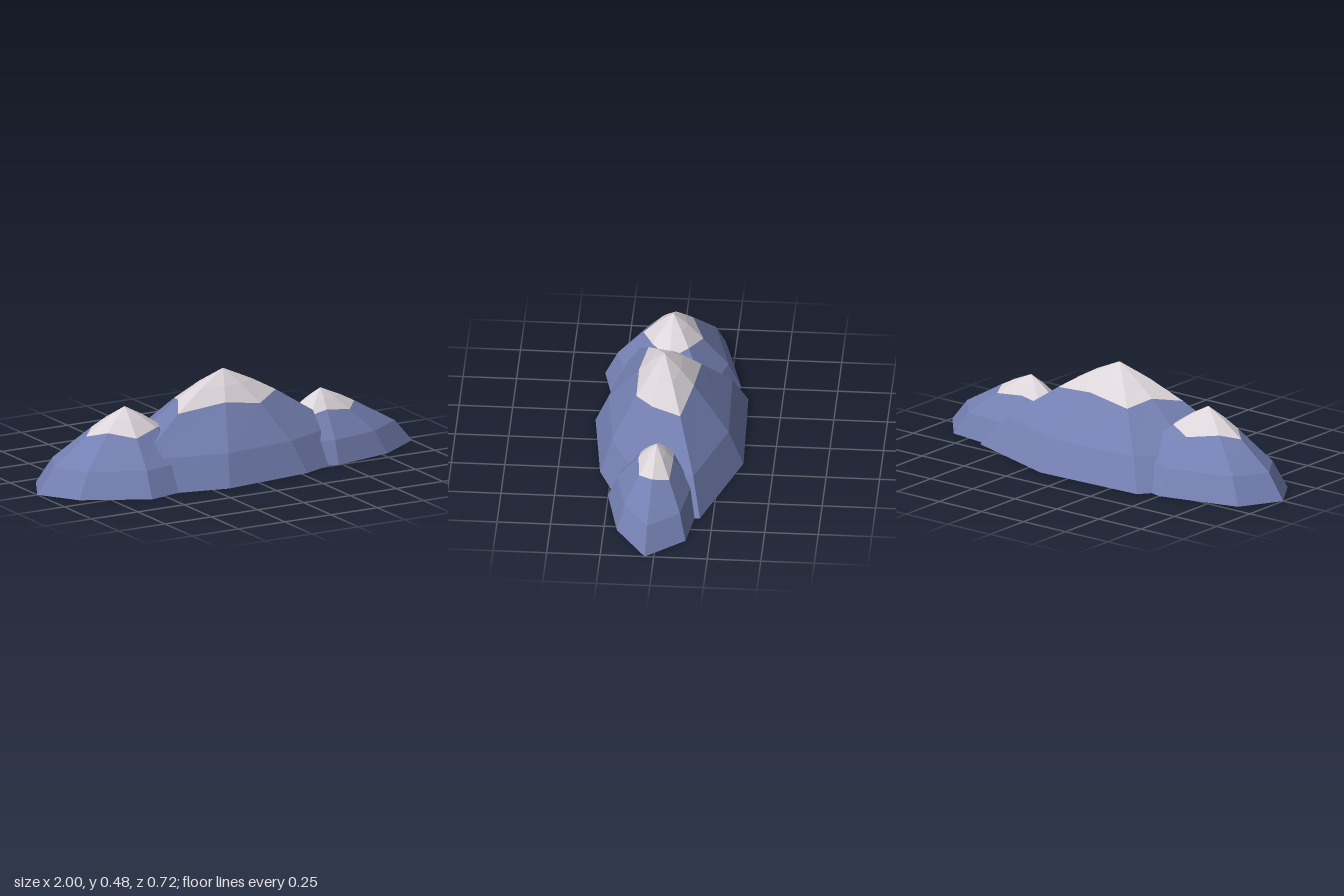
import * as THREE from 'three';

// Footprint corners [x, z] run counter-clockwise from above.
const PEAKS = [
  {
    name: 'leftMountain', apex: [-0.54, 0.37, 0.02], footHeight: 0.122,
    base: [[-0.88, 0.185], [-0.58, 0.342], [-0.22, 0.26], [-0.08, 0.03],
      [-0.15, -0.2], [-0.5, -0.3], [-0.89, -0.2], [-1, 0]],
  },
  {
    name: 'middleMountain', apex: [-0.01, 0.483, 0.022], footHeight: 0.151,
    base: [[0.7, 0.125], [0.65, -0.19], [0.16, -0.358], [-0.4, -0.34],
      [-0.61, -0.08], [-0.69, 0.245], [-0.17, 0.357], [0.28, 0.303]],
  },
  {
    name: 'rightMountain', apex: [0.515, 0.317, 0.022], footHeight: 0.109,
    base: [[1, 0.042], [0.85, -0.137], [0.5, -0.188], [0.28, -0.15],
      [0.15, 0], [0.3, 0.2], [0.48, 0.252], [0.78, 0.188]],
  },
];

// Facets between successive closed rings, lowest first.
function facetedShell(rings) {
  const positions = [];
  for (let r = 0; r + 1 < rings.length; r++) {
    const low = rings[r], high = rings[r + 1];
    low.forEach((corner, i) => {
      const j = (i + 1) % low.length;
      positions.push(...corner, ...low[j], ...high[j]);
      // A ring shrunk to the summit needs only one triangle per side
      if (high[i].some((v, k) => v !== high[j][k])) {
        positions.push(...corner, ...high[j], ...high[i]);
      }
    });
  }
  const geometry = new THREE.BufferGeometry();
  geometry.setAttribute('position', new THREE.Float32BufferAttribute(positions, 3));
  geometry.computeVertexNormals();
  return geometry;
}

function flatMaterial(name, color) {
  const material = new THREE.MeshStandardMaterial({ color, flatShading: true, side: THREE.DoubleSide });
  material.name = name;
  return material;
}

function addPart(parent, name, rings, material) {
  const mesh = new THREE.Mesh(facetedShell(rings), material);
  mesh.name = name;
  parent.add(mesh);
}

export function createModel() {
  const model = new THREE.Group();
  model.name = 'mountainRange';
  const rock = flatMaterial('blueRock', 0x7480b2);
  const snow = flatMaterial('snow', 0xdcd5da);

  for (const { name, apex: [ax, ay, az], footHeight, base } of PEAKS) {
    const mountain = new THREE.Group();
    mountain.name = name;

    // The footprint drawn in towards the summit axis, at a given height
    const ring = (scale, y) =>
      base.map(([x, z]) => [ax + (x - ax) * scale, y, az + (z - az) * scale]);

    // Zigzag snow line: corners alternate between a high and a low ring
    const high = ring(0.37, ay * 0.73), low = ring(0.44, ay * 0.67);
    const snowLine = high.map((corner, i) => (i % 2 ? low[i] : corner));

    // Open-bottomed slopes, then the cap with its shoulder and summit
    addPart(mountain, 'rockSlopes', [ring(1, 0), ring(0.81, footHeight), snowLine], rock);
    addPart(mountain, 'snowCap', [snowLine, ring(0.21, ay * 0.86), ring(0, ay)], snow);
    model.add(mountain);
  }
  return model;
}
